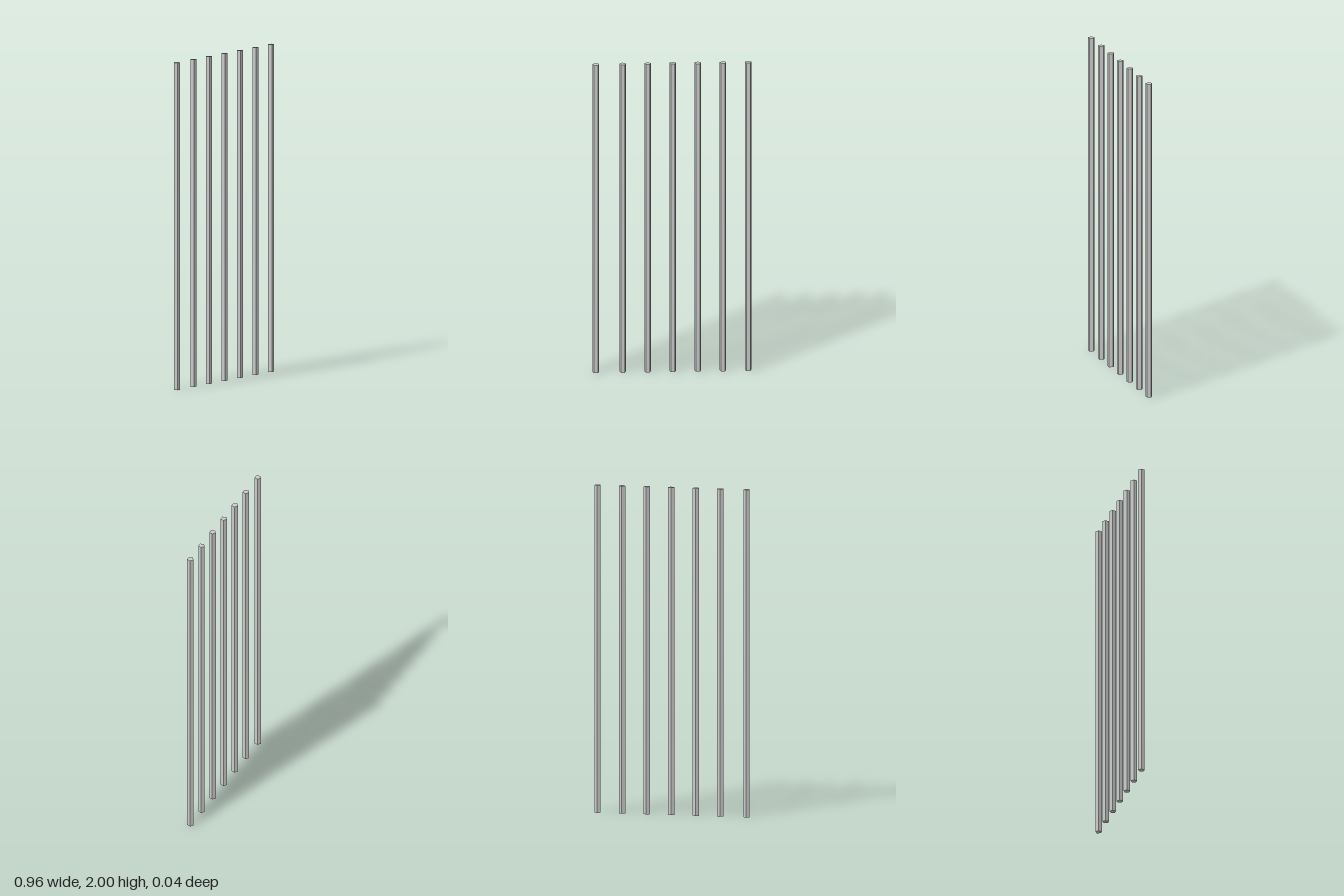
import * as THREE from 'three';

export function createModel() {
  const group = new THREE.Group();
  group.name = 'barRow';
  const material = new THREE.MeshStandardMaterial({ color: 0xcccccc, flatShading: true });

  // Five-sided upright bar with one edge pointing to the back
  const radius = 0.0205, height = 2;
  const geometry = new THREE.CylinderGeometry(radius, radius, height, 5, 1, false, Math.PI);
  // Centre the pentagon's depth on z = 0
  geometry.translate(0, height / 2, radius * (1 - Math.cos(Math.PI / 5)) / 2);

  // Row of bars; the gap at the right end is slightly wider
  const positions = [-0.46, -0.298, -0.147, 0.004, 0.156, 0.308, 0.46];
  positions.forEach((x, i) => {
    const bar = new THREE.Mesh(geometry, material);
    bar.name = `bar${i + 1}`;
    bar.position.x = x;
    group.add(bar);
  });
  return group;
}
